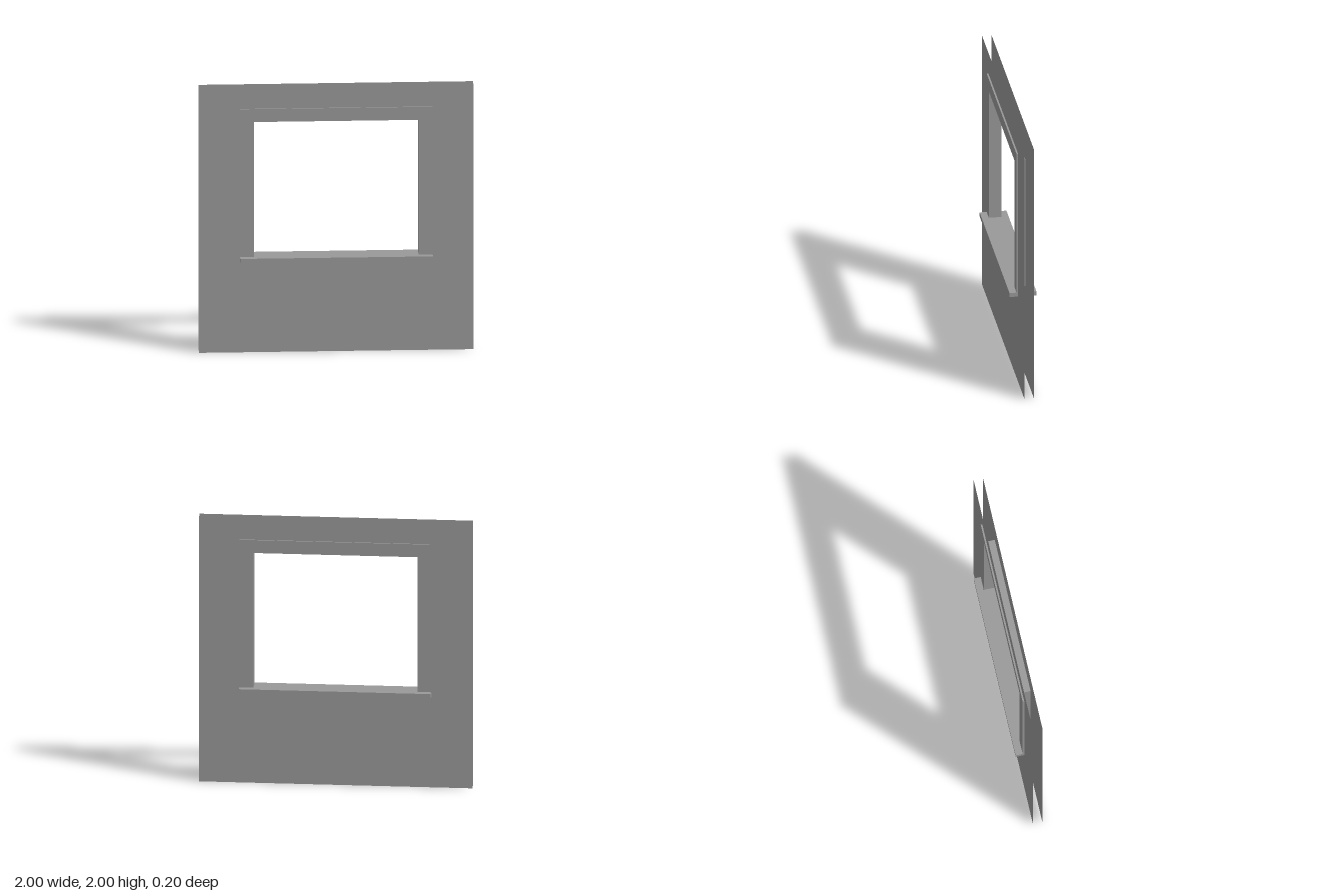
import * as THREE from 'three';

const material = new THREE.MeshStandardMaterial({ color: 0x999999, flatShading: true, side: THREE.DoubleSide });

// Wall faces, opening and casing dimensions
const WALL_Z = 0.035, TRIM_DEPTH = 0.012, SILL_Z = 0.099;
const OPEN_X = 0.6, OPEN_BOTTOM = 0.72, OPEN_TOP = 1.736;
const TRIM_X = 0.702, TRIM_TOP = 1.833, SILL_BOTTOM = 0.688;

const points = (list) => list.map(([x, y]) => new THREE.Vector2(x, y));

function addMesh(parent, name, geometry, x = 0, y = 0, z = 0) {
  const mesh = new THREE.Mesh(geometry, material);
  mesh.name = name;
  mesh.position.set(x, y, z);
  parent.add(mesh);
  return mesh;
}

// One face of the wall with its casing and sill, facing +z
function createSide(name) {
  const side = new THREE.Group();
  side.name = name;

  // Thin wall sheet with the window opening
  const wall = new THREE.Shape(points([[-1, 0], [1, 0], [1, 2], [-1, 2]]));
  wall.holes.push(new THREE.Path(points([
    [-OPEN_X, OPEN_BOTTOM], [-OPEN_X, OPEN_TOP], [OPEN_X, OPEN_TOP], [OPEN_X, OPEN_BOTTOM],
  ])));
  addMesh(side, 'wallSheet', new THREE.ShapeGeometry(wall), 0, 0, WALL_Z);

  // Casing around the top and both sides of the opening
  const casing = new THREE.Shape(points([
    [-TRIM_X, OPEN_BOTTOM], [-OPEN_X, OPEN_BOTTOM], [-OPEN_X, OPEN_TOP], [OPEN_X, OPEN_TOP],
    [OPEN_X, OPEN_BOTTOM], [TRIM_X, OPEN_BOTTOM], [TRIM_X, TRIM_TOP], [-TRIM_X, TRIM_TOP],
  ]));
  addMesh(side, 'windowCasing',
    new THREE.ExtrudeGeometry(casing, { depth: TRIM_DEPTH, bevelEnabled: false }), 0, 0, WALL_Z);

  // Projecting sill, level with the bottom of the opening
  addMesh(side, 'windowSill',
    new THREE.BoxGeometry(TRIM_X * 2, OPEN_BOTTOM - SILL_BOTTOM, SILL_Z - WALL_Z),
    0, (OPEN_BOTTOM + SILL_BOTTOM) / 2, (SILL_Z + WALL_Z) / 2);
  return side;
}

// Lining of the opening between the two wall sheets
function createReveal() {
  const reveal = new THREE.Group();
  reveal.name = 'windowReveal';
  const depth = WALL_Z * 2, height = OPEN_TOP - OPEN_BOTTOM;
  const middle = (OPEN_TOP + OPEN_BOTTOM) / 2;
  for (const s of [1, -1]) {
    addMesh(reveal, s > 0 ? 'leftJamb' : 'rightJamb',
      new THREE.PlaneGeometry(depth, height), s * OPEN_X, middle).rotation.y = -s * Math.PI / 2;
    addMesh(reveal, s > 0 ? 'headLining' : 'sillLining',
      new THREE.PlaneGeometry(OPEN_X * 2, depth), 0, middle + s * height / 2).rotation.x = s * Math.PI / 2;
  }
  return reveal;
}

export function createModel() {
  const model = new THREE.Group();
  model.name = 'windowWall';
  const back = createSide('backSide');
  back.rotation.y = Math.PI;
  model.add(createSide('frontSide'), back, createReveal());
  return model;
}
